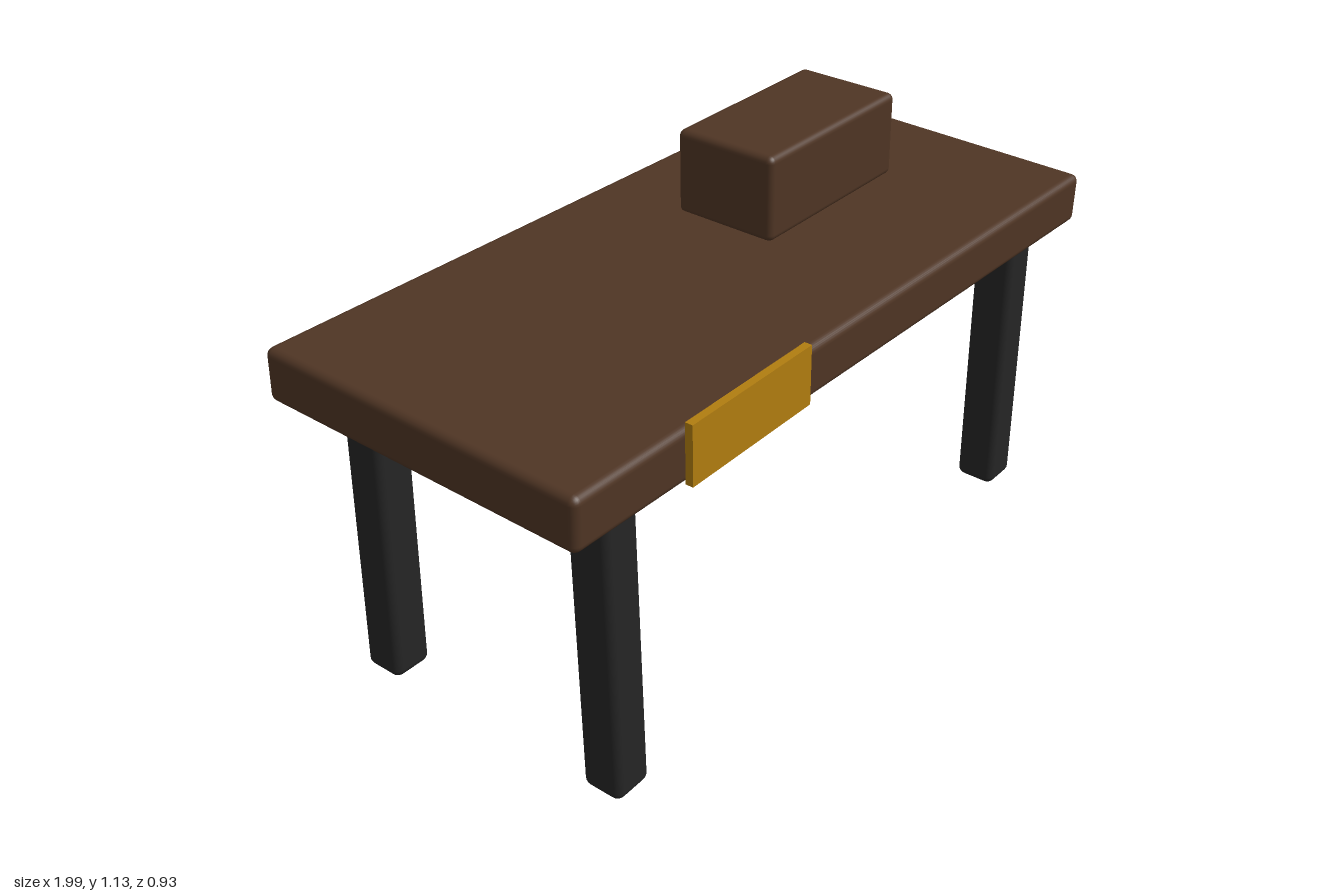
import * as THREE from 'three';
import { RoundedBoxGeometry } from 'three/addons/geometries/RoundedBoxGeometry.js';

const material = (name, color) => {
  const m = new THREE.MeshStandardMaterial({ color });
  m.name = name;
  return m;
};

export function createModel() {
  const wood = material('dark wood', 0x4f3524);
  const black = material('black legs', 0x252525);
  const brass = material('brass', 0xb17d10);
  const model = new THREE.Group();
  model.name = 'table';

  const add = (name, geometry, mat, x, y, z) => {
    const mesh = new THREE.Mesh(geometry, mat);
    mesh.name = name;
    mesh.position.set(x, y, z);
    model.add(mesh);
    return mesh;
  };

  // Table top, sagging slightly to its left and front
  const top = add('tableTop', new RoundedBoxGeometry(1.993, 0.135, 0.905, 3, 0.02), wood, 0, 0.846, -0.01);
  top.rotation.set(0.015, 0, -0.02);

  // Block resting on the top
  add('block', new RoundedBoxGeometry(0.53, 0.225, 0.29, 3, 0.018), wood, 0.395, 1.018, -0.078);

  // Plate on the front edge
  add('frontPlate', new THREE.BoxGeometry(0.412, 0.152, 0.02), brass, -0.455, 0.863, 0.453);

  // Legs, each leaning a little: bottom x, top x, z
  const legHeight = 0.82;
  const legs = [
    ['frontRightLeg', -0.794, -0.81, 0.341],
    ['backRightLeg', -0.81, -0.794, -0.353],
    ['frontLeftLeg', 0.8, 0.8, 0.341],
    ['backLeftLeg', 0.786, 0.814, -0.353],
  ];
  const legGeometry = new RoundedBoxGeometry(0.11, legHeight, 0.11, 3, 0.022);
  for (const [name, bottom, topX, z] of legs) {
    const leg = add(name, legGeometry, black, (bottom + topX) / 2, legHeight / 2, z);
    leg.rotation.z = Math.atan2(bottom - topX, legHeight);
  }

  return model;
}
